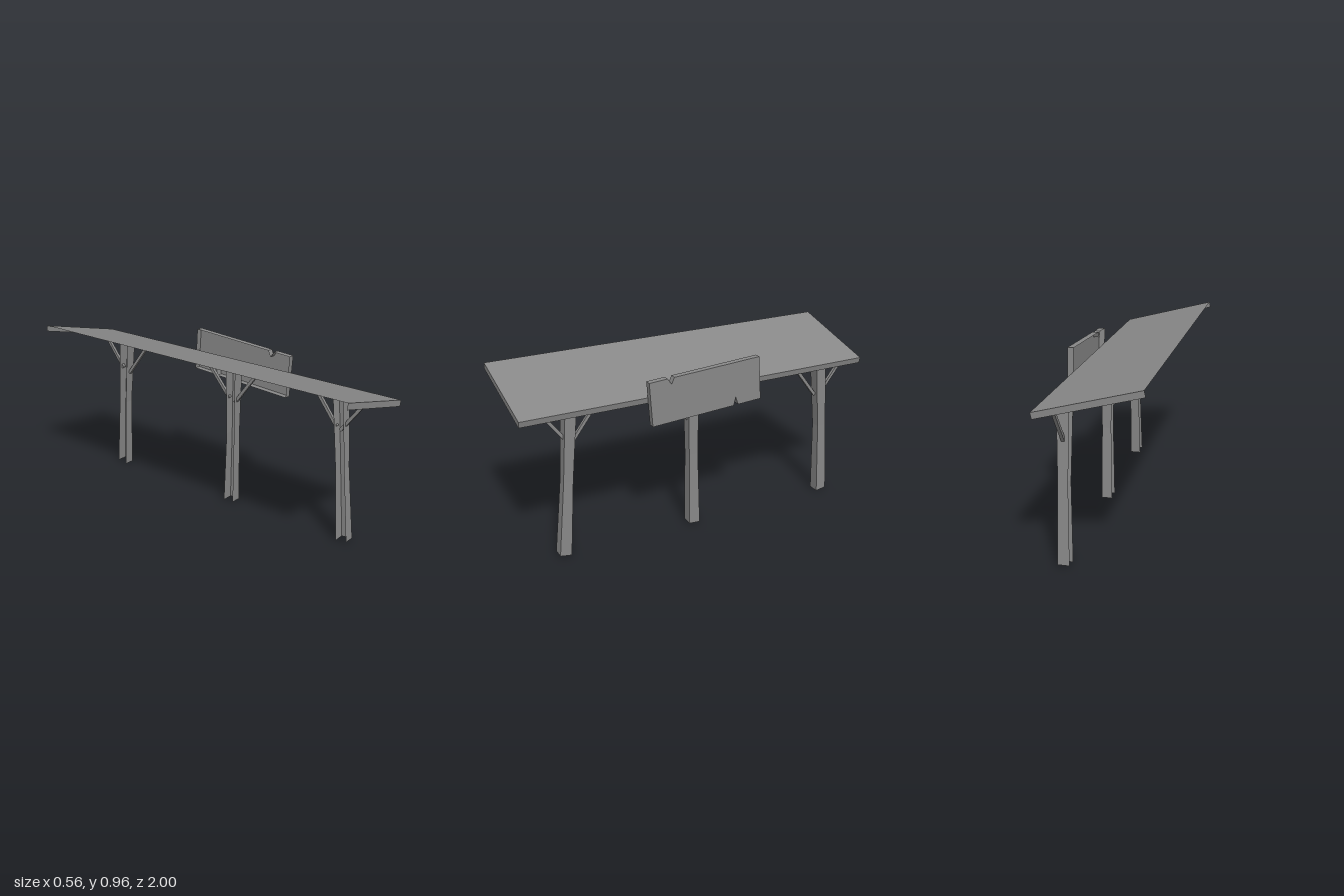
import * as THREE from 'three';

const material = new THREE.MeshStandardMaterial({ color: 0x888888, flatShading: true, side: THREE.DoubleSide });

// Open surface through rows of [x, y, z] points, one quad per cell
function sheet(rows) {
  const pos = [];
  for (let i = 0; i < rows.length - 1; i++) {
    for (let j = 0; j < rows[i].length - 1; j++) {
      const a = rows[i][j], b = rows[i][j + 1], c = rows[i + 1][j + 1], d = rows[i + 1][j];
      pos.push(...a, ...b, ...c, ...a, ...c, ...d);
    }
  }
  const geo = new THREE.BufferGeometry();
  geo.setAttribute('position', new THREE.Float32BufferAttribute(pos, 3));
  geo.computeVertexNormals();
  return geo;
}

function addMesh(parent, name, geo) {
  const mesh = new THREE.Mesh(geo, material);
  mesh.name = name;
  parent.add(mesh);
  return mesh;
}

// Sloping roof, open underneath and along its high edge
function makeRoof() {
  const roof = new THREE.Group();
  roof.name = 'roof';
  const at = (x, y) => (z) => [x, y, z];
  const highTop = at(-0.271, 0.959), lowTop = at(0.247, 0.823);
  const lowBottom = at(0.24, 0.791), highBottom = at(-0.278, 0.927);
  addMesh(roof, 'roofTop', sheet([1, -1].map((z) => [highTop(z), lowTop(z), lowBottom(z)])));
  addMesh(roof, 'roofFrontEnd', sheet([[highBottom(1), lowBottom(1)], [highTop(1), lowTop(1)]]));
  addMesh(roof, 'roofBackEnd', sheet([[lowBottom(-1), highBottom(-1)], [lowTop(-1), highTop(-1)]]));
  return roof;
}

// Bent channel-shaped post, open on the -x side; levels are [z1, y1, z2, y2]
function postGeometry(levels) {
  const widths = [[0.122, 0.184], [0.128, 0.179], [0.12, 0.184]];
  return sheet(levels.map(([z1, y1, z2, y2], i) => {
    const [back, front] = widths[i];
    const drop = i === 2 ? 0.016 : 0; // top follows the roof slope
    return [[back, y1, z1], [front, y1 - drop, z1], [front, y2 - drop, z2], [back, y2, z2]];
  }));
}

// Thin diagonal strut between two [z, y] points
function addBrace(parent, [z1, y1], [z2, y2]) {
  const length = Math.hypot(z2 - z1, y2 - y1);
  const brace = addMesh(parent, 'brace', new THREE.BoxGeometry(0.017, length, 0.017));
  brace.position.set(0.152, (y1 + y2) / 2, (z1 + z2) / 2);
  brace.rotation.x = Math.atan2(z2 - z1, y2 - y1);
}

// Notched, slightly crooked board, open at the back; outline is [z, y]
function makeSign() {
  const sign = new THREE.Group();
  sign.name = 'signBoard';
  const front = 0.278, back = 0.244;
  const outline = [
    [0.318, 0.674], [-0.155, 0.702], [-0.166, 0.748], [-0.182, 0.704], [-0.32, 0.712],
    [-0.304, 0.949], [0.195, 0.919], [0.211, 0.885], [0.232, 0.917], [0.335, 0.911],
  ];
  const face = new THREE.ShapeGeometry(new THREE.Shape(outline.map(([z, y]) => new THREE.Vector2(-z, y))));
  face.rotateY(Math.PI / 2).translate(front, 0, 0);
  addMesh(sign, 'signFace', face);
  const loop = [...outline, outline[0]];
  addMesh(sign, 'signEdge', sheet([back, front].map((x) => loop.map(([z, y]) => [x, y, z]))));
  return sign;
}

export function createModel() {
  const model = new THREE.Group();
  model.name = 'shelter';
  model.add(makeRoof(), makeSign());

  // Three posts, each with a pair of braces
  const posts = [
    {
      name: 'frontPost',
      levels: [[0.815, 0.01, 0.752, 0], [0.773, 0.42, 0.721, 0.42], [0.746, 0.823, 0.686, 0.823]],
      braces: [[[0.725, 0.622], [0.868, 0.812]], [[0.7, 0.637], [0.567, 0.812]]],
    },
    {
      name: 'middlePost',
      levels: [[0.055, 0.004, -0.008, 0], [0.056, 0.42, 0.004, 0.42], [0.064, 0.823, 0.002, 0.823]],
      braces: [[[0.045, 0.612], [0.195, 0.812]], [[0.005, 0.63], [-0.15, 0.812]]],
    },
    {
      name: 'backPost',
      levels: [[-0.803, 0, -0.865, 0.01], [-0.786, 0.42, -0.838, 0.42], [-0.747, 0.823, -0.81, 0.823]],
      braces: [[[-0.765, 0.612], [-0.61, 0.812]], [[-0.815, 0.635], [-0.952, 0.812]]],
    },
  ];
  for (const { name, levels, braces } of posts) {
    const group = new THREE.Group();
    group.name = name;
    addMesh(group, 'post', postGeometry(levels));
    for (const [low, high] of braces) addBrace(group, low, high);
    model.add(group);
  }
  return model;
}
